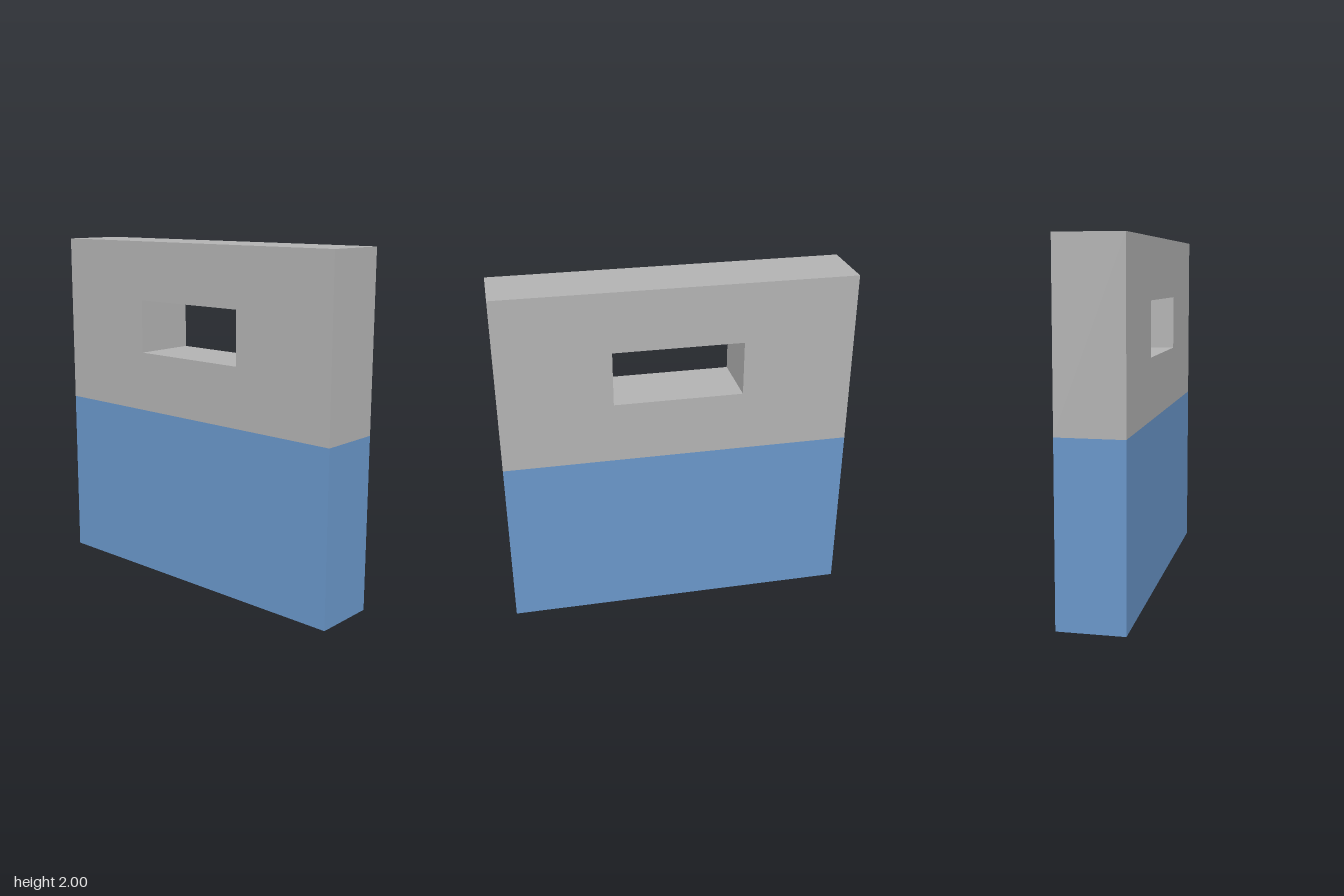
import * as THREE from 'three';

const WIDTH = 2, DEPTH = 0.37, HALF_HEIGHT = 1;

// Counter-clockwise rectangle traced onto a shape or path
function rect(path, x0, y0, x1, y1) {
  path.moveTo(x0, y0);
  path.lineTo(x1, y0);
  path.lineTo(x1, y1);
  path.lineTo(x0, y1);
  path.closePath();
  return path;
}

export function createModel() {
  const group = new THREE.Group();
  group.name = 'wallPanel';

  const blue = new THREE.MeshStandardMaterial({ name: 'blue paint', color: 0x6996c9 });
  const grey = new THREE.MeshStandardMaterial({ name: 'grey plaster', color: 0xb2b2b2 });

  // Solid lower half
  const lower = new THREE.Mesh(new THREE.BoxGeometry(WIDTH, HALF_HEIGHT, DEPTH), blue);
  lower.name = 'lowerWall';
  lower.position.y = HALF_HEIGHT / 2;
  group.add(lower);

  // Upper half with a rectangular opening right through it
  const shape = rect(new THREE.Shape(), -WIDTH / 2, HALF_HEIGHT, WIDTH / 2, 2 * HALF_HEIGHT);
  shape.holes.push(rect(new THREE.Path(), -0.367, 1.348, 0.367, 1.658));
  const geometry = new THREE.ExtrudeGeometry(shape, { depth: DEPTH, bevelEnabled: false });
  geometry.translate(0, 0, -DEPTH / 2);
  const upper = new THREE.Mesh(geometry, grey);
  upper.name = 'upperWallWithOpening';
  group.add(upper);

  return group;
}
